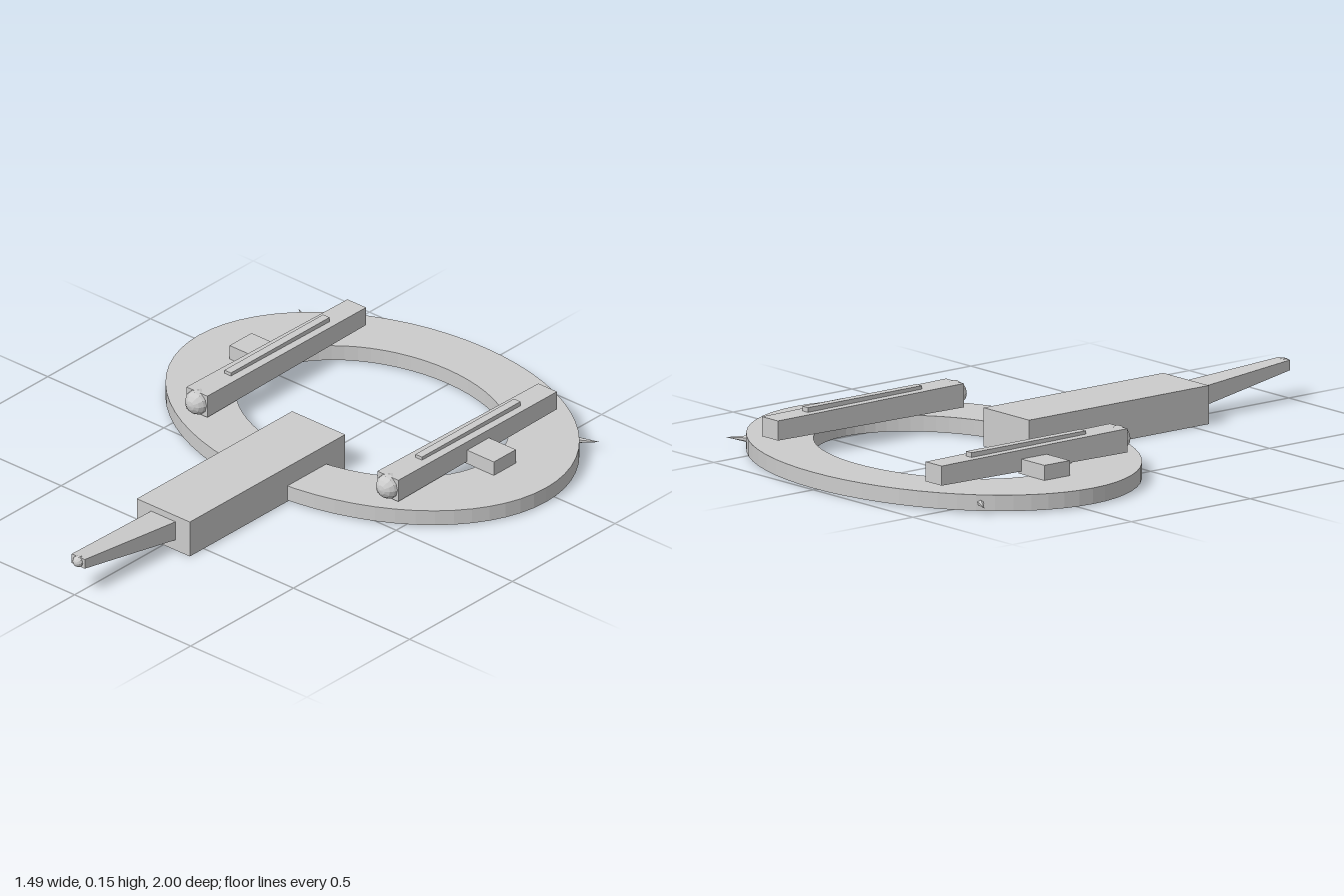
import * as THREE from 'three';

const material = new THREE.MeshStandardMaterial({ color: 0xcccccc, flatShading: true });

function add(parent, name, geometry, x = 0, y = 0, z = 0) {
  const mesh = new THREE.Mesh(geometry, material);
  mesh.name = name;
  mesh.position.set(x, y, z);
  parent.add(mesh);
  return mesh;
}

// Box along z whose ends are given as [z, halfWidth, bottom, top]
function taperedBox(back, front) {
  const geometry = new THREE.BoxGeometry(2, 1, 1);
  const p = geometry.attributes.position;
  for (let i = 0; i < p.count; i++) {
    const [z, half, bottom, top] = p.getZ(i) > 0 ? front : back;
    p.setXYZ(i, p.getX(i) * half, p.getY(i) > 0 ? top : bottom, z);
  }
  geometry.computeVertexNormals();
  return geometry;
}

// Flat oval ring lying in the ground plane
function ovalRing() {
  const shape = new THREE.Shape().absellipse(0, 0, 0.747, 0.55, 0, Math.PI * 2);
  shape.holes.push(new THREE.Path().absellipse(0, 0, 0.492, 0.364, 0, Math.PI * 2));
  const geometry = new THREE.ExtrudeGeometry(shape, { depth: 0.053, bevelEnabled: false, curveSegments: 32 });
  return geometry.rotateX(-Math.PI / 2);
}

// Engine pod with its domed nose, top strip, side pylon and the ring's spike
function createSide(side) {
  const group = new THREE.Group();
  group.name = side > 0 ? 'leftPod' : 'rightPod';
  const x = side * 0.411;
  add(group, 'podBody', taperedBox([-0.838, 0.04, 0.071, 0.136], [-0.06, 0.045, 0.064, 0.143]), x);
  const dome = new THREE.SphereGeometry(0.043, 12, 8).rotateX(Math.PI / 2);
  add(group, 'podDome', dome, x, 0.104, -0.066);
  add(group, 'podStrip', new THREE.BoxGeometry(0.028, 0.03, 0.48), x, 0.138, -0.45);
  add(group, 'pylon', new THREE.BoxGeometry(0.13, 0.05, 0.107), side * 0.504, 0.084, -0.451);

  // Small spike pointing out and back from the rim
  const spike = add(group, 'rimSpike', new THREE.ConeGeometry(0.012, 0.08, 6), side * 0.615, 0.03, -0.804);
  spike.quaternion.setFromUnitVectors(
    new THREE.Vector3(0, 1, 0),
    new THREE.Vector3(side * 0.86, 0, -0.51).normalize()
  );
  return group;
}

export function createModel() {
  const model = new THREE.Group();
  model.name = 'ringShip';

  add(model, 'ring', ovalRing(), 0, 0.005, -0.45);
  add(model, 'hull', new THREE.BoxGeometry(0.228, 0.128, 0.756), 0, 0.064, 0.19);

  // Tapered neck rising to a small round tip
  add(model, 'neck', taperedBox([0.56, 0.053, 0.037, 0.105], [0.982, 0.028, 0.1, 0.134]));
  add(model, 'neckTip', new THREE.SphereGeometry(0.02, 10, 8).rotateX(Math.PI / 2), 0, 0.117, 0.98);

  for (const side of [1, -1]) model.add(createSide(side));
  return model;
}
